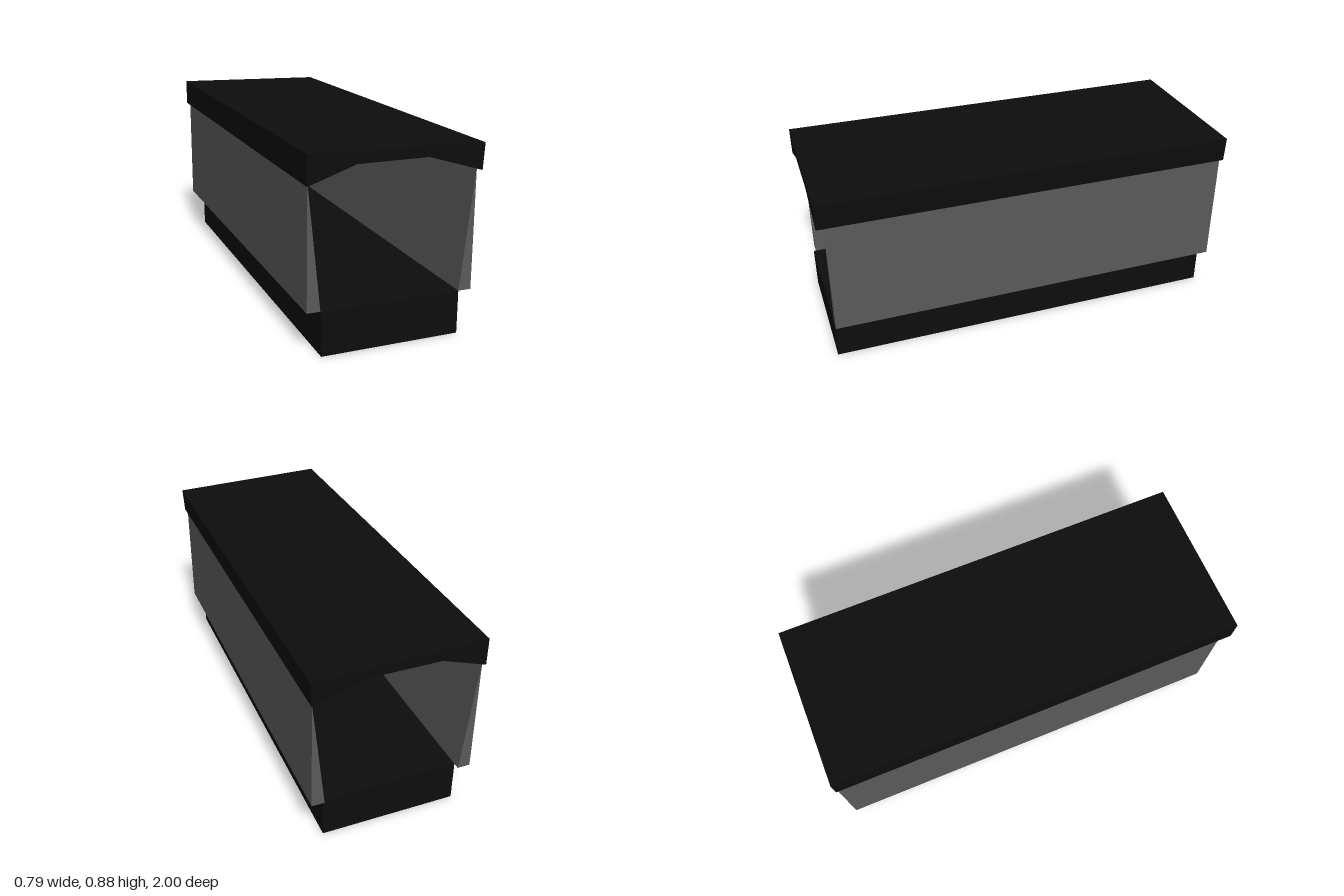
import * as THREE from 'three';

const black = new THREE.MeshStandardMaterial({ color: 0x0d0d0d });
black.name = 'black';
const grey = new THREE.MeshStandardMaterial({ color: 0x5a5a5a });
grey.name = 'grey';

// Extrudes an x-y outline (counter-clockwise) from zBack to zFront
function prism(name, outline, zBack, zFront, material) {
  const shape = new THREE.Shape(outline.map(([x, y]) => new THREE.Vector2(x, y)));
  const geometry = new THREE.ExtrudeGeometry(shape, { depth: zFront - zBack, bevelEnabled: false });
  geometry.translate(0, 0, zBack);
  const mesh = new THREE.Mesh(geometry, material);
  mesh.name = name;
  return mesh;
}

export function createModel() {
  const model = new THREE.Group();
  model.name = 'coveredTrough';

  // Solid plinth
  const base = new THREE.Mesh(new THREE.BoxGeometry(0.64, 0.198, 1.934), black);
  base.position.y = 0.099;
  base.name = 'base';
  model.add(base);

  // Wedge-shaped side walls, tapering up to the roof
  model.add(prism('leftWall', [[0.32, 0.198], [0.38, 0.198], [0.379, 0.744]], -0.983, 0.967, grey));
  model.add(prism('rightWall', [[-0.38, 0.198], [-0.32, 0.198], [-0.377, 0.752]], -0.997, 0.956, grey));

  // Slightly tilted roof with a hollowed underside
  model.add(prism('roof', [
    [-0.395, 0.745], [-0.185, 0.817], [0.135, 0.818],
    [0.386, 0.74], [0.393, 0.858], [-0.395, 0.875],
  ], -1, 1, black));

  return model;
}
